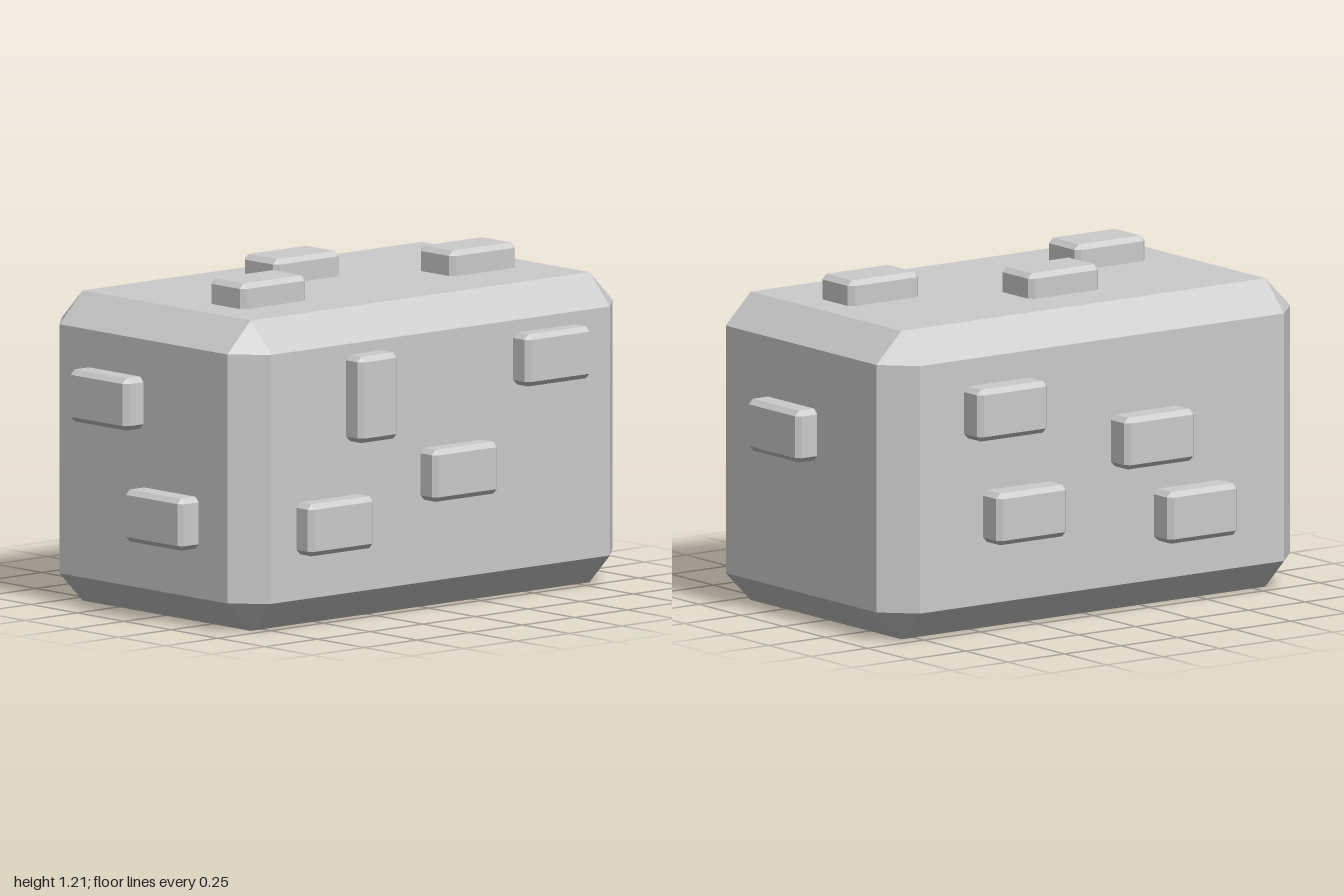
import * as THREE from 'three';
import { ConvexGeometry } from 'three/addons/geometries/ConvexGeometry.js';

const material = new THREE.MeshStandardMaterial({ color: 0xcccccc, flatShading: true });

// Box with bevelled edges and triangular corners
function chamferBox(w, h, d, c) {
  const points = [];
  for (const sx of [-1, 1]) for (const sy of [-1, 1]) for (const sz of [-1, 1]) {
    const x = w / 2, y = h / 2, z = d / 2;
    points.push(
      new THREE.Vector3(sx * x, sy * (y - c), sz * (z - c)),
      new THREE.Vector3(sx * (x - c), sy * y, sz * (z - c)),
      new THREE.Vector3(sx * (x - c), sy * (y - c), sz * z));
  }
  return new ConvexGeometry(points);
}

export function createModel() {
  const model = new THREE.Group();
  model.name = 'studdedBlock';

  // Main block
  const body = new THREE.Mesh(chamferBox(1.83, 1.115, 1.115, 0.11), material);
  body.name = 'body';
  body.position.set(0, 0.5575, 0.0075);
  model.add(body);

  // Raised bricks, partly sunk into the block
  const L = 0.31, H = 0.187, D = 0.14, half = D / 2;
  const addBricks = (name, size, centres) => {
    const geometry = chamferBox(...size, 0.018);
    centres.forEach((p, i) => {
      const brick = new THREE.Mesh(geometry, material);
      brick.name = name + (i + 1);
      brick.position.set(...p);
      model.add(brick);
    });
  };

  const front = 0.643 - half, back = -0.645 + half, top = 1.205 - half;
  addBricks('frontBrick', [L, H, D], [[0.5, 0.866, front], [0.06, 0.499, front], [-0.53, 0.367, front]]);
  addBricks('frontUprightBrick', [H, L, D], [[-0.355, 0.81, front]]);
  addBricks('backBrick', [L, H, D],
    [[0.455, 0.813, back], [0.37, 0.428, back], [-0.195, 0.635, back], [-0.385, 0.344, back]]);
  addBricks('topBrick', [L, D, H], [[-0.062, top, -0.16], [-0.508, top, 0.163], [0.53, top, 0.115]]);
  addBricks('leftBrick', [D, H, L], [[1 - half, 0.695, 0.067]]);
  addBricks('rightBrick', [D, H, L], [[-1 + half, 0.776, -0.147], [-1 + half, 0.38, 0.147]]);

  return model;
}
